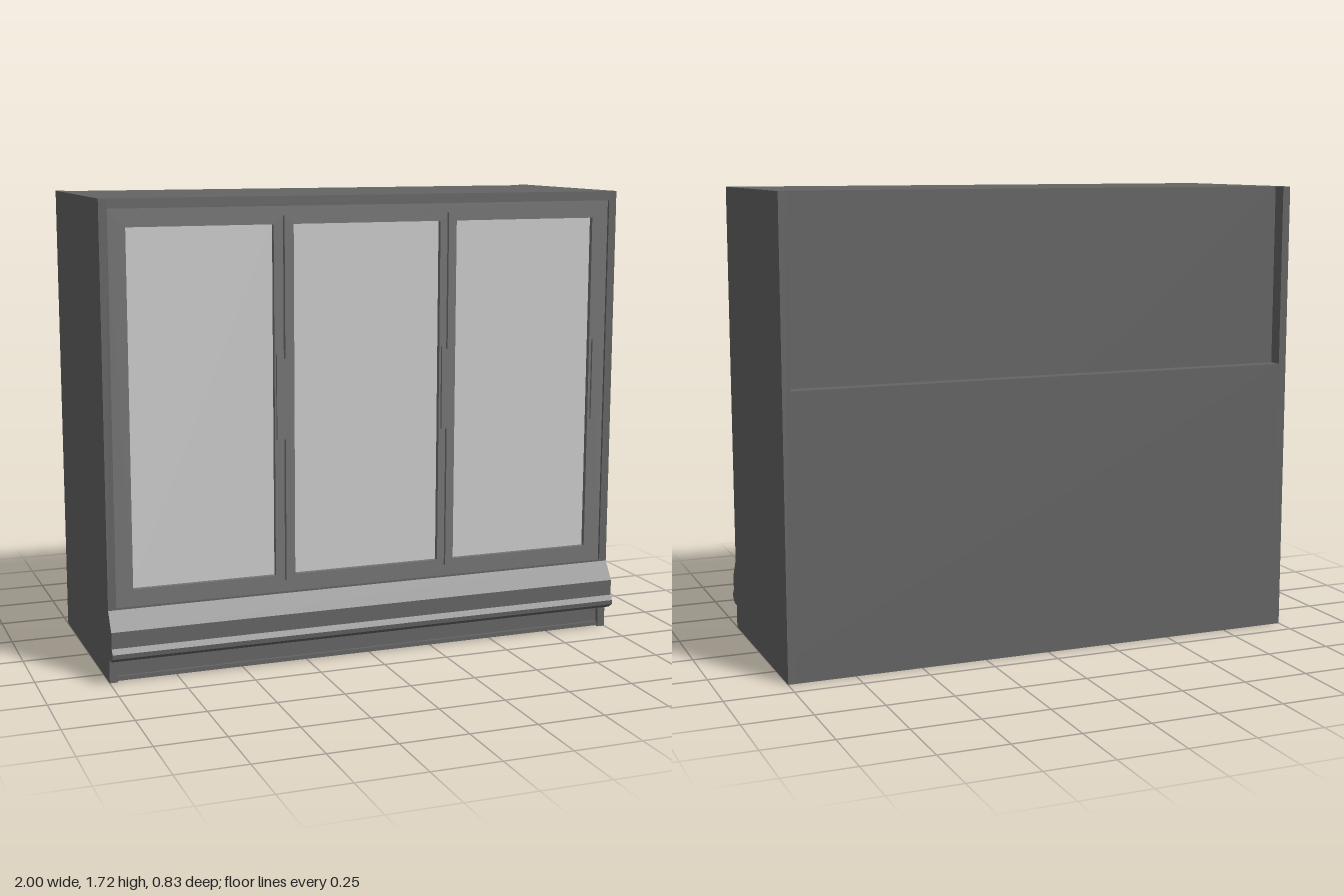
import * as THREE from 'three';

const bodyMat = new THREE.MeshStandardMaterial({ color: 0x646464 });
const frameMat = new THREE.MeshStandardMaterial({ color: 0x747474 });
const glassMat = new THREE.MeshStandardMaterial({ color: 0xcccccc });

const TOP = 1.72, BACK = -0.415, FRONT = 0.355, INNER = 0.97;

export function createModel() {
  const model = new THREE.Group();
  model.name = 'displayFridge';

  function add(name, geometry, material = bodyMat) {
    const mesh = new THREE.Mesh(geometry, material);
    mesh.name = name;
    model.add(mesh);
    return mesh;
  }
  // Box given by its limits on each axis
  function box(name, x0, x1, y0, y1, z0, z1, material) {
    const g = new THREE.BoxGeometry(x1 - x0, y1 - y0, z1 - z0);
    g.translate((x0 + x1) / 2, (y0 + y1) / 2, (z0 + z1) / 2);
    return add(name, g, material);
  }
  function rectPath(x0, x1, y0, y1, PathType = THREE.Path) {
    return new PathType([[x0, y0], [x1, y0], [x1, y1], [x0, y1]].map(([x, y]) => new THREE.Vector2(x, y)));
  }
  function polygon(points) {
    return new THREE.Shape(points.map(([x, y]) => new THREE.Vector2(x, y)));
  }
  const extrude = (shape, depth) => new THREE.ExtrudeGeometry(shape, { depth, bevelEnabled: false });

  // Cabinet: side panels run the full depth, the core stops short at the upper back
  box('rightSidePanel', -1, -INNER, 0, TOP, BACK, FRONT);
  box('leftSidePanel', INNER, 1, 0, TOP, BACK, FRONT);
  box('cabinetCore', -INNER, INNER, 0.1, TOP, -0.36, 0.32);
  box('lowerBackPanel', -INNER, INNER, 0.1, 1.04, BACK, -0.36);
  box('backSkirt', -INNER, INNER, 0, 0.1, BACK, -0.385);
  box('header', -INNER, INNER, 1.685, TOP, 0.32, FRONT);
  box('sill', -INNER, INNER, 0.1, 0.275, 0.32, FRONT);

  // Kick plate with a narrow rail, over the hollow base
  box('kickPlate', -INNER, INNER, 0.02, 0.1, 0.315, 0.338);
  box('kickRail', -INNER, INNER, 0.004, 0.02, 0.3, 0.35);
  box('baseRail', -INNER, INNER, 0.07, 0.1, 0.25, 0.27);

  // Sloped front apron with bumper, extruded across the width
  const apron = extrude(polygon([
    [0.35, 0.088], [0.388, 0.088], [0.413, 0.105], [0.415, 0.122],
    [0.4, 0.14], [0.4, 0.2], [0.355, 0.268], [0.35, 0.268],
  ]), 2);
  apron.rotateY(-Math.PI / 2); // profile x becomes z, extrusion runs to -x
  apron.translate(1, 0, 0);
  add('frontApron', apron);

  // Door frames with glass openings and seams between the doors
  const panes = [[-0.905, -0.37], [-0.295, 0.275], [0.34, 0.905]];
  const frame = rectPath(-INNER, INNER, 0.275, 1.685, THREE.Shape);
  for (const [x0, x1] of panes) frame.holes.push(rectPath(x0, x1, 0.335, 1.62));
  for (const x of [-0.332, 0.306]) frame.holes.push(rectPath(x - 0.003, x + 0.003, 0.31, 1.65));
  const frameGeometry = extrude(frame, 0.025);
  frameGeometry.translate(0, 0, 0.32);
  add('doorFrames', frameGeometry, frameMat);

  panes.forEach(([x0, x1], i) => {
    box(`glassPane${i + 1}`, x0, x1, 0.335, 1.62, 0.32, 0.326, glassMat);

    // Handle: thin slanted-top grip on a narrow web beside the glass
    const grip = extrude(polygon([
      [x1, 0.847], [x1 + 0.034, 0.847], [x1 + 0.034, 1.14], [x1, 1.157],
    ]), 0.01);
    grip.translate(0, 0, 0.362);
    add(`handleGrip${i + 1}`, grip, frameMat);
    box(`handleWeb${i + 1}`, x1 + 0.024, x1 + 0.034, 0.847, 1.14, 0.34, 0.364, bodyMat);
  });

  return model;
}
